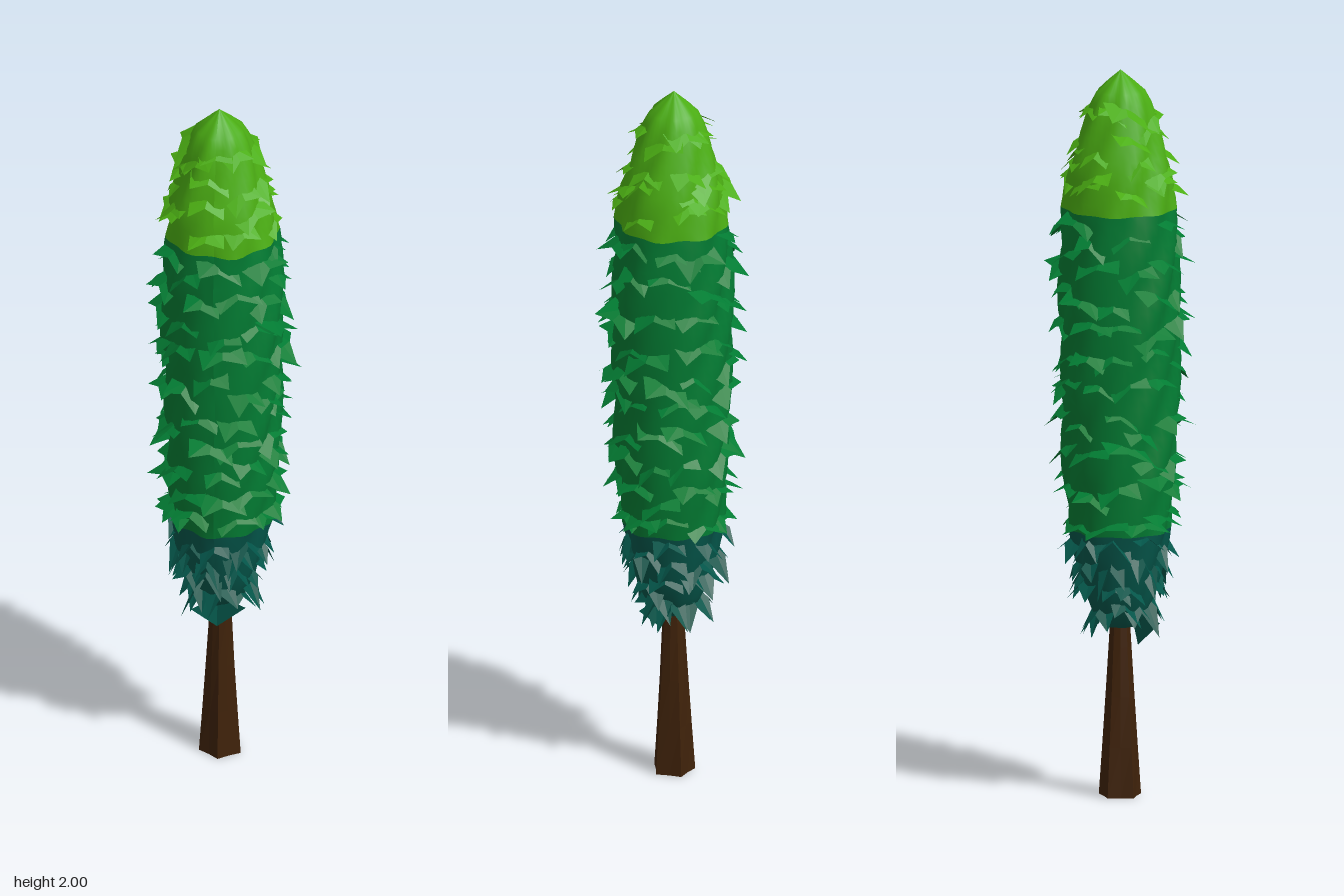
import * as THREE from 'three';

// Crown radius by height
const PROFILE = [[0.47, 0.045], [0.5, 0.07], [0.56, 0.095], [0.64, 0.115], [0.735, 0.134], [0.9, 0.148], [1.1, 0.155],
  [1.35, 0.16], [1.5, 0.158], [1.62, 0.15], [1.72, 0.137], [1.82, 0.108], [1.9, 0.084], [1.945, 0.062], [2.0, 0]];

function radiusAt(y) {
  for (let i = 1; i < PROFILE.length; i++) {
    const [y0, r0] = PROFILE[i - 1], [y1, r1] = PROFILE[i];
    if (y <= y1) return r0 + (r1 - r0) * Math.max(0, (y - y0) / (y1 - y0));
  }
  return 0;
}

// Slight bow of the crown axis
const axisX = y => -0.016 + 0.01 * Math.sin(Math.PI * (y - 0.45) / 1.55);

// Twisting ridges that run up the crown
const ridge = (a, y) => 1 + 0.05 * Math.sin(8 * a + 26 * y) + 0.025 * Math.sin(5 * a + 9 * y);

function makeRandom(seed) {
  let s = seed;
  return () => (s = (s * 16807) % 2147483647) / 2147483647;
}

// One colour band of the solid crown
function crownBand(y0, y1) {
  const points = [];
  const steps = Math.max(6, Math.round((y1 - y0) / 0.03));
  if (y0 < 0.48) points.push(new THREE.Vector2(0, y0));
  for (let i = 0; i <= steps; i++) {
    const y = y0 + (y1 - y0) * i / steps;
    points.push(new THREE.Vector2(radiusAt(y), y));
  }
  const geo = new THREE.LatheGeometry(points, 48);
  const p = geo.attributes.position;
  for (let i = 0; i < p.count; i++) {
    const x = p.getX(i), y = p.getY(i), z = p.getZ(i);
    const k = ridge(Math.atan2(z, x), y);
    p.setXYZ(i, x * k + axisX(y), y, z * k);
  }
  geo.computeVertexNormals();
  return geo;
}

// Jagged leaf flaps, each a folded fan with two tips, sloping outwards and down
function leafFlaps({ rows, count, out, drop, width, lowest, y1 }, seed) {
  const random = makeRandom(seed);
  const verts = [];
  for (const rowY of rows) {
    const turn = random() * 6.28;
    for (let i = 0; i < count; i++) {
      const a = turn + (i + (random() - 0.5) * 0.6) / count * Math.PI * 2;
      const y = rowY + (random() - 0.5) * 0.06;
      const r = radiusAt(y) * ridge(a, y);
      const o = out * (0.5 + 0.8 * random());
      const d = drop * (0.5 + 0.9 * random());
      const w = width * (0.8 + 0.4 * random());
      const lean = (random() - 0.5) * 0.04;
      const at = (side, radial, height) => {
        const h = Math.min(y1, Math.max(lowest, height));
        return [
          axisX(h) + Math.cos(a) * radial - Math.sin(a) * side, h,
          Math.sin(a) * radial + Math.cos(a) * side];
      };
      const root = at(0, r - 0.02, y + 0.02);
      const fan = [
        at(-w * 0.75, r - 0.03, y + 0.01 - lean),
        at(-w, r + o * 0.6, y - d - lean),
        at(0, r + o * 0.5, y - d * 0.2),
        at(w * 0.8, r + o, y - d + lean),
        at(w, r - 0.03, y + 0.01 + lean)];
      for (let k = 0; k < 4; k++) verts.push(...root, ...fan[k + 1], ...fan[k]);
    }
  }
  const geo = new THREE.BufferGeometry();
  geo.setAttribute('position', new THREE.Float32BufferAttribute(verts, 3));
  geo.computeVertexNormals();
  return geo;
}

const evenRows = (y0, y1, n) => Array.from({ length: n }, (_, i) => y0 + (y1 - y0) * i / (n - 1));

export function createModel() {
  const tree = new THREE.Group();
  tree.name = 'cypressTree';
  const material = (name, color, side = THREE.FrontSide) => {
    const m = new THREE.MeshStandardMaterial({ color, side });
    m.name = name;
    return m;
  };
  const add = (name, geo, mat) => {
    const mesh = new THREE.Mesh(geo, mat);
    mesh.name = name;
    tree.add(mesh);
  };

  // Trunk with lobed roots that fade upwards
  const trunk = new THREE.CylinderGeometry(0.024, 0.053, 0.55, 10, 4).toNonIndexed();
  trunk.translate(0, 0.275, 0);
  const p = trunk.attributes.position;
  for (let i = 0; i < p.count; i++) {
    const x = p.getX(i), y = p.getY(i), z = p.getZ(i);
    const k = 1 + 0.13 * (1 - y / 0.55) * Math.cos(5 * Math.atan2(x, z));
    p.setXYZ(i, x * k - 0.012, y, z * k);
  }
  trunk.computeVertexNormals();
  add('trunk', trunk, material('barkBrown', 0x3f220a));

  // Crown in three colour bands, each with its own leaves
  const teal = material('deepTeal', 0x03564a, THREE.DoubleSide);
  const bands = [
    { name: 'lowerCrown', mat: teal, y0: 0.47, y1: 0.735, lowest: 0.44,
      rows: evenRows(0.53, 0.71, 4), count: 9, out: 0.028, drop: 0.06, width: 0.045 },
    { name: 'middleCrown', mat: material('forestGreen', 0x027c33, THREE.DoubleSide), y0: 0.735, y1: 1.62, lowest: 0.73,
      rows: evenRows(0.78, 1.57, 10), count: 10, out: 0.036, drop: 0.026, width: 0.058 },
    { name: 'upperCrown', mat: material('limeGreen', 0x4bae13, THREE.DoubleSide), y0: 1.62, y1: 2.0, lowest: 1.62,
      rows: evenRows(1.68, 1.88, 4), count: 8, out: 0.032, drop: 0.026, width: 0.052 }];
  bands.forEach((band, i) => {
    add(band.name, crownBand(band.y0, band.y1), band.mat);
    add(band.name + 'Leaves', leafFlaps(band, 71 + i * 913), band.mat);
  });

  // Drooping leaf below the front of the crown
  const droop = new THREE.BufferGeometry();
  droop.setAttribute('position', new THREE.Float32BufferAttribute([
    -0.08, 0.48, 0.09, -0.015, 0.41, 0.05, -0.015, 0.5, 0.04,
    -0.015, 0.5, 0.04, -0.015, 0.41, 0.05, 0.065, 0.48, 0.06], 3));
  droop.computeVertexNormals();
  add('droopingLeaf', droop, teal);
  return tree;
}
